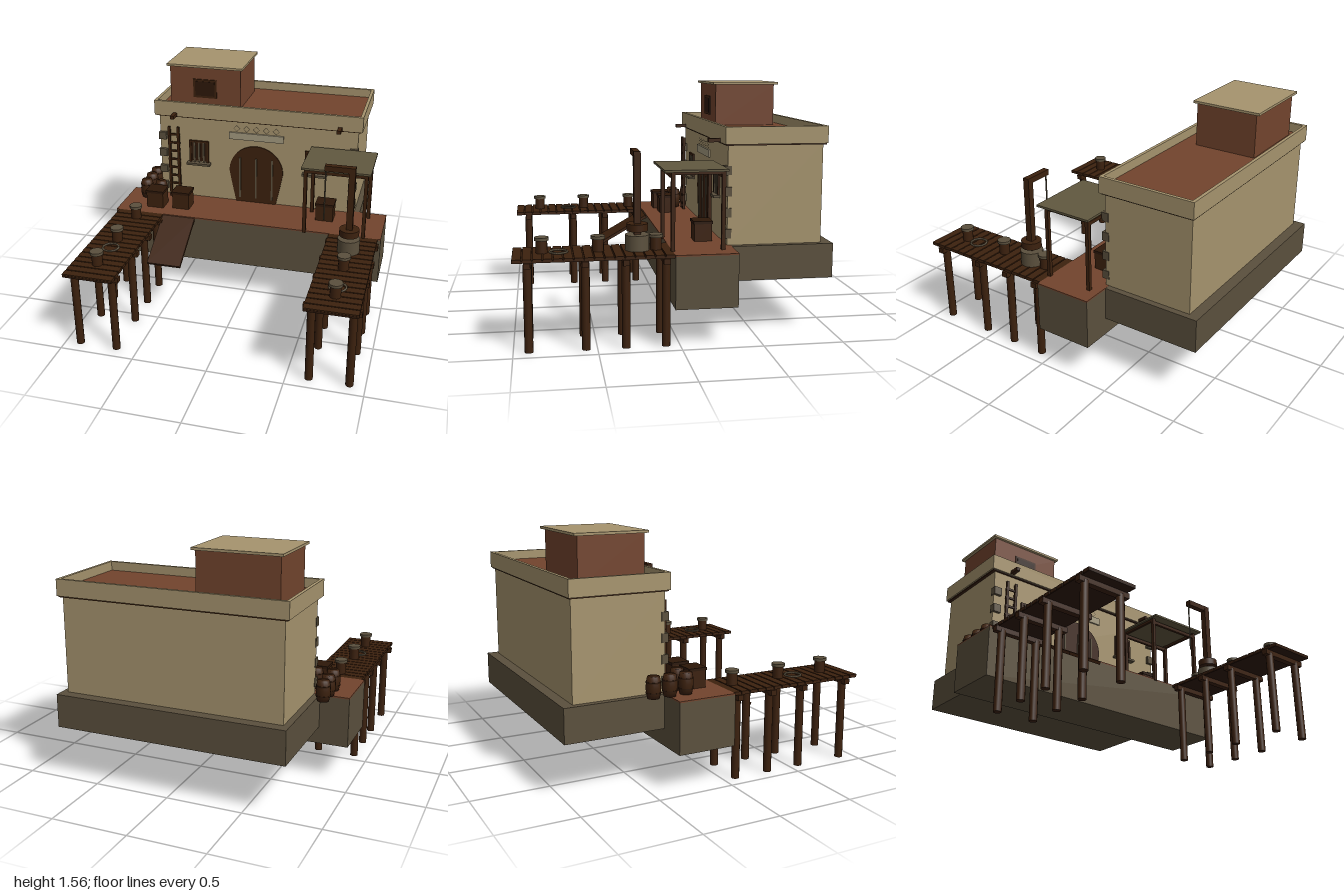
import * as THREE from 'three';

const mat = (name, color) => {
  const m = new THREE.MeshStandardMaterial({ color });
  m.name = name;
  return m;
};

export function createModel() {
  const root = new THREE.Group();
  root.name = 'harbourWarehouse';
  const sand = mat('sandPlaster', 0xa6946e);
  const stone = mat('greyStone', 0x5b503d);
  const rust = mat('rustClay', 0x72442d);
  const wood = mat('brownWood', 0x3c210e);
  const dark = mat('darkWood', 0x2d1809);
  const pale = mat('paleStone', 0xa49a80);
  const cloth = mat('awningCloth', 0x61583f);

  const add = (name, geo, m, x = 0, y = 0, z = 0, parent = root) => {
    const mesh = new THREE.Mesh(geo, m);
    mesh.name = name;
    mesh.position.set(x, y, z);
    parent.add(mesh);
    return mesh;
  };
  // Box given by its extents on each axis
  const box = (name, m, x0, x1, y0, y1, z0, z1, parent = root) =>
    add(name, new THREE.BoxGeometry(x1 - x0, y1 - y0, z1 - z0), m,
      (x0 + x1) / 2, (y0 + y1) / 2, (z0 + z1) / 2, parent);
  // Upright cylinder standing on y0
  const cyl = (name, m, r, x, y0, y1, z, parent = root, seg = 16) =>
    add(name, new THREE.CylinderGeometry(r, r, y1 - y0, seg), m, x, (y0 + y1) / 2, z, parent);
  const group = (name, x = 0, y = 0, z = 0) => {
    const g = new THREE.Group();
    g.name = name;
    g.position.set(x, y, z);
    root.add(g);
    return g;
  };

  // Foundations and quay
  box('buildingFoundation', stone, -0.77, 0.77, 0.35, 0.57, -1, -0.348);
  box('quayBase', stone, -0.962, 0.962, 0.237, 0.562, -0.348, 0.037);
  box('quayPaving', rust, -0.962, 0.962, 0.562, 0.571, -0.348, 0.037);

  // Main walls, eaves trim, roof and parapet
  box('walls', sand, -0.73, 0.73, 0.57, 1.2, -0.93, -0.325);
  box('eavesTrim', wood, -0.75, 0.75, 1.194, 1.204, -0.945, -0.31);
  box('roof', rust, -0.745, 0.745, 1.204, 1.25, -0.94, -0.315);
  const rim = new THREE.Shape([[-0.76, 0.302], [0.76, 0.302], [0.76, 0.952], [-0.76, 0.952]]
    .map(p => new THREE.Vector2(...p)));
  rim.holes.push(new THREE.Path([[-0.738, 0.324], [-0.738, 0.93], [0.738, 0.93], [0.738, 0.324]]
    .map(p => new THREE.Vector2(...p))));
  const parapet = add('parapet',
    new THREE.ExtrudeGeometry(rim, { depth: 0.108, bevelEnabled: false }), sand, 0, 1.202, 0);
  parapet.rotation.x = -Math.PI / 2;

  // Roof house with cap and window
  box('roofHouse', rust, -0.675, -0.148, 1.25, 1.54, -0.86, -0.435);
  box('roofHouseCap', sand, -0.695, -0.13, 1.54, 1.556, -0.885, -0.415);
  box('roofWindowFrame', wood, -0.5, -0.325, 1.315, 1.452, -0.436, -0.427);
  box('roofWindowPane', dark, -0.485, -0.34, 1.33, 1.437, -0.428, -0.425);

  // Horseshoe door with iron bars
  const arch = new THREE.Shape();
  arch.moveTo(-0.15, 0.571);
  arch.lineTo(0.15, 0.571);
  arch.quadraticCurveTo(0.18, 0.7, 0.2, 0.815);
  arch.absarc(0, 0.815, 0.2, 0, Math.PI, false);
  arch.quadraticCurveTo(-0.18, 0.7, -0.15, 0.571);
  add('door', new THREE.ExtrudeGeometry(arch,
    { depth: 0.009, bevelEnabled: false, curveSegments: 24 }), wood, 0, 0, -0.325);
  for (const x of [-0.12, 0, 0.12])
    box('doorBar', stone, x - 0.006, x + 0.006, 0.605, 0.92, -0.317, -0.31);

  // Lintel and row of diamonds
  box('lintel', pale, -0.2, 0.2, 1.06, 1.112, -0.326, -0.312);
  for (let i = -2; i <= 2; i++)
    add('diamond', new THREE.RingGeometry(0.02, 0.026, 4, 1), stone, i * 0.0725, 1.142, -0.322);

  for (const s of [-1, 1]) {
    // Barred windows with sills
    const wx = s * 0.4325;
    box('windowPane', dark, wx - 0.06, wx + 0.06, 0.86, 1.01, -0.326, -0.318);
    for (const d of [-1, 1])
      box('windowJamb', wood, wx + d * 0.066 - 0.008, wx + d * 0.066 + 0.008, 0.85, 1.02, -0.326, -0.312);
    box('windowHead', wood, wx - 0.074, wx + 0.074, 1.005, 1.02, -0.326, -0.312);
    for (const d of [-0.035, 0, 0.035])
      box('windowBar', stone, wx + d - 0.006, wx + d + 0.006, 0.85, 1.008, -0.318, -0.31);
    box('windowSill', stone, wx - 0.088, wx + 0.088, 0.836, 0.852, -0.326, -0.28);

    // Corner stones and roof beam ends
    for (let i = 0; i < 4; i++)
      box('cornerStone', stone, s * 0.707 - 0.028, s * 0.707 + 0.028,
        0.615 + i * 0.132, 0.672 + i * 0.132, -0.35, -0.303);
    box('beamEnd', wood, s * 0.603 - 0.014, s * 0.603 + 0.014, 1.204, 1.228, -0.34, -0.225);
  }

  // Ladder
  const ladder = group('ladder', -0.613, 0, -0.284);
  for (const s of [-1, 1])
    box('ladderRail', wood, s * 0.034 - 0.009, s * 0.034 + 0.009, 0.571, 1.125, -0.009, 0.009, ladder);
  for (let i = 0; i < 8; i++)
    box('ladderRung', wood, -0.046, 0.046, 0.604 + i * 0.065, 0.618 + i * 0.065, -0.006, 0.006, ladder);

  // Awning on four posts
  box('awningCloth', cloth, 0.405, 0.873, 1.052, 1.066, -0.3, 0.09);
  for (const z of [-0.275, 0.035]) {
    for (const x of [0.43, 0.84])
      box('awningPost', wood, x - 0.012, x + 0.012, 0.56, 1.052, z - 0.012, z + 0.012);
    box('awningBeam', wood, 0.418, 0.852, 1.012, 1.036, z - 0.01, z + 0.01);
  }
  for (const x of [0.43, 0.84])
    box('awningSideRail', wood, x - 0.009, x + 0.009, 1.034, 1.052, -0.285, 0.045);

  // Timber piers with piles, bollards and coiled rope
  for (const s of [-1, 1]) {
    const pier = group(s < 0 ? 'rightPier' : 'leftPier', s * 0.772, 0, 0);
    const pitch = 0.965 / 16;
    box('pierDeck', dark, -0.164, 0.164, 0.548, 0.562, 0.037, 0.996, pier);
    for (let i = 0; i < 16; i++)
      box('pierPlank', wood, -0.168, 0.168, 0.55, 0.571,
        0.037 + i * pitch, 0.037 + (i + 1) * pitch - 0.008, pier);
    for (const z of [0.085, 0.327, 0.568, 0.907]) {
      box('crossBeam', wood, -0.18, 0.18, 0.515, 0.55, z - 0.02, z + 0.02, pier);
      for (const x of [-0.128, 0.128]) cyl('pile', wood, 0.026, x, 0, 0.53, z, pier, 12);
    }
    for (const z of [0.13, 0.482, 0.82]) {
      cyl('bollard', wood, 0.035, 0, 0.571, 0.65, z, pier);
      cyl('bollardCap', stone, 0.044, 0, 0.648, 0.667, z, pier);
    }
    const coil = add('ropeCoil', new THREE.TorusGeometry(0.053, 0.007, 6, 24), stone,
      0, 0.576, s < 0 ? 0.6 : 0.72, pier);
    coil.rotation.x = Math.PI / 2;
  }

  // Loading crane
  const crane = group('crane', 0.768, 0, 0.243);
  cyl('craneBase', stone, 0.074, 0, 0.571, 0.667, 0, crane, 20);
  cyl('craneDrum', wood, 0.066, 0, 0.69, 0.735, 0, crane, 20);
  box('cranePost', wood, -0.021, 0.021, 0.66, 1.172, -0.021, 0.021, crane);
  box('craneArm', wood, -0.178, 0.021, 1.135, 1.172, -0.02, 0.02, crane);
  cyl('craneRope', stone, 0.005, -0.172, 0.78, 1.14, 0, crane, 8);

  // Sloping ramp
  const ramp = box('ramp', wood, -0.605, -0.365, -0.01, 0.01, -0.202, 0.202);
  ramp.position.set(-0.485, 0.459, 0.215);
  ramp.rotation.x = Math.atan2(0.2, 0.35);

  // Crates with lids
  for (const [x, z] of [[-0.697, -0.112], [-0.507, -0.132], [0.54, -0.2]]) {
    const crate = group('crate', x, 0.571, z);
    box('crateBody', wood, -0.062, 0.062, 0, 0.112, -0.057, 0.057, crate);
    box('crateLid', dark, -0.067, 0.067, 0.112, 0.13, -0.062, 0.062, crate);
  }

  // Barrels
  const stave = [[0, 0], [0.038, 0], [0.045, 0.035], [0.047, 0.067], [0.045, 0.1], [0.038, 0.135], [0, 0.135]]
    .map(p => new THREE.Vector2(...p));
  for (const [x, z] of [[-0.82, -0.45], [-0.82, -0.34], [-0.82, -0.23], [-0.708, -0.23]]) {
    add('barrel', new THREE.LatheGeometry(stave, 16), wood, x, 0.571, z);
    for (const y of [0.035, 0.1]) cyl('barrelHoop', dark, 0.047, x, 0.567 + y, 0.575 + y, z);
  }

  return root;
}
